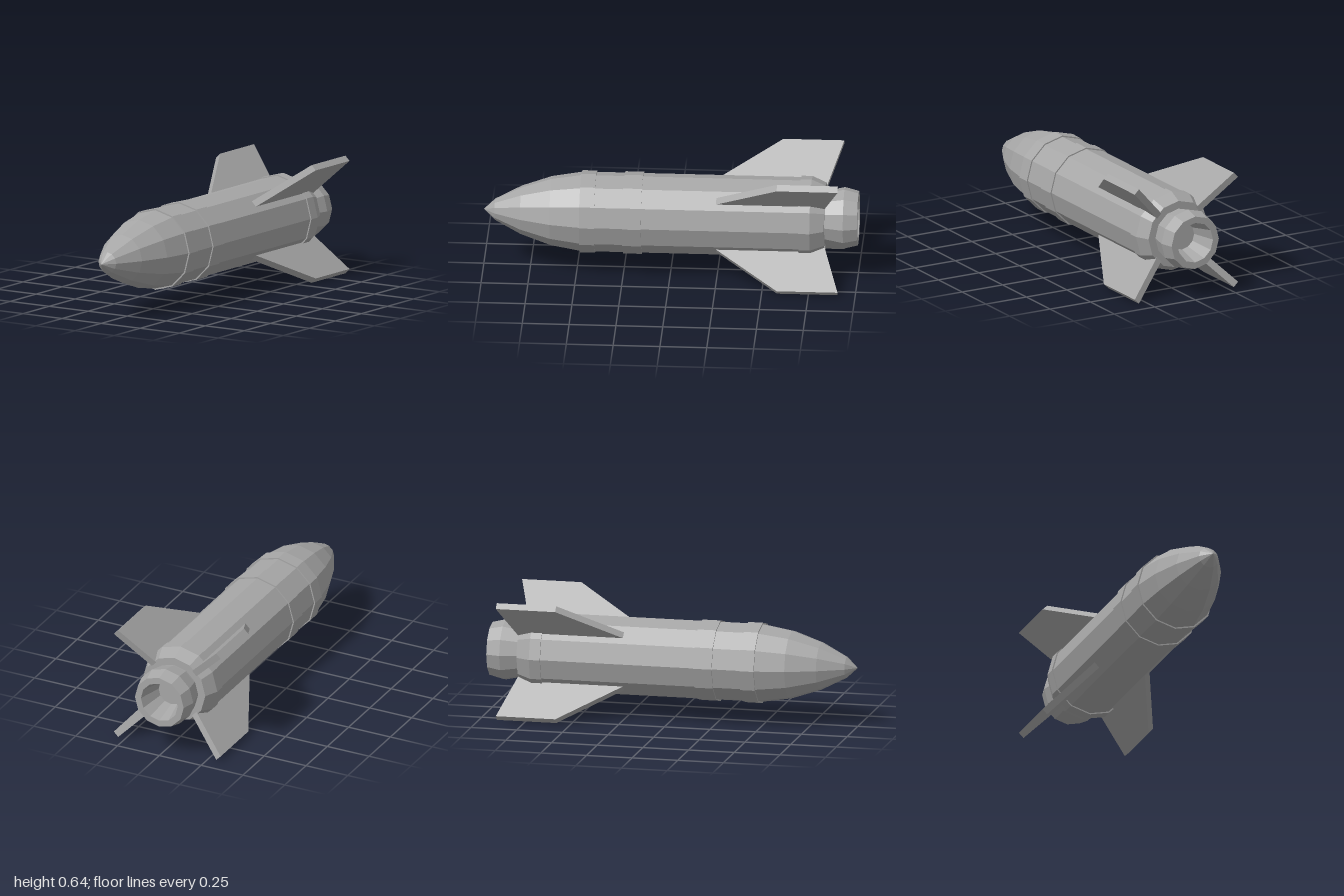
import * as THREE from 'three';

const SIDES = 12;
const AXIS_Y = 0.32;

export function createModel() {
  const model = new THREE.Group();
  model.name = 'rocket';
  const grey = new THREE.MeshStandardMaterial({ color: 0xa6a6a6, flatShading: true });
  grey.name = 'grey metal';

  // Faceted solid of revolution along z; profile is [radius, z] from back to front
  const turned = (name, profile) => {
    const geometry = new THREE.LatheGeometry(profile.map(([r, z]) => new THREE.Vector2(r, z)), SIDES);
    geometry.rotateX(Math.PI / 2);
    const mesh = new THREE.Mesh(geometry, grey);
    mesh.name = name;
    mesh.position.y = AXIS_Y;
    model.add(mesh);
  };

  // Hollow exhaust nozzle
  turned('nozzle', [
    [0, -0.86], [0.075, -0.86], [0.11, -1], [0.146, -1],
    [0.165, -0.925], [0.145, -0.835], [0.14, -0.8],
  ]);

  // Tapered tail with its raised collar
  turned('tailCollar', [
    [0, -0.825], [0.186, -0.825], [0.22, -0.75], [0.22, -0.69], [0.21, -0.69],
  ]);

  // Main tube
  turned('body', [[0.213, -0.7], [0.213, 0.45]]);

  // Raised bands around the tube
  for (const [name, back, front] of [['middleBand', 0.15, 0.25], ['noseBand', 0.4, 0.48]]) {
    turned(name, [[0.205, back], [0.22, back], [0.22, front], [0.205, front]]);
  }

  // Pointed nose cone
  turned('noseCone', [[0.213, 0.47], [0.212, 0.48], [0.185, 0.64], [0.13, 0.8], [0.057, 0.94], [0, 1]]);

  // Four swept fins set diagonally; outline is (radius, z)
  const thickness = 0.037;
  const outline = [[0.12, -0.81], [0.18, -0.828], [0.433, -0.907], [0.433, -0.582], [0.203, -0.245], [0.12, -0.245]];
  const finGeometry = new THREE.ExtrudeGeometry(
    new THREE.Shape(outline.map(([r, z]) => new THREE.Vector2(r, z))),
    { depth: thickness, bevelEnabled: false },
  );
  finGeometry.translate(0, 0, -thickness / 2);
  finGeometry.rotateX(Math.PI / 2);
  ['upperLeftFin', 'upperRightFin', 'lowerRightFin', 'lowerLeftFin'].forEach((name, i) => {
    const fin = new THREE.Mesh(finGeometry, grey);
    fin.name = name;
    fin.position.y = AXIS_Y;
    fin.rotation.z = Math.PI / 4 + (i * Math.PI) / 2;
    model.add(fin);
  });

  return model;
}
